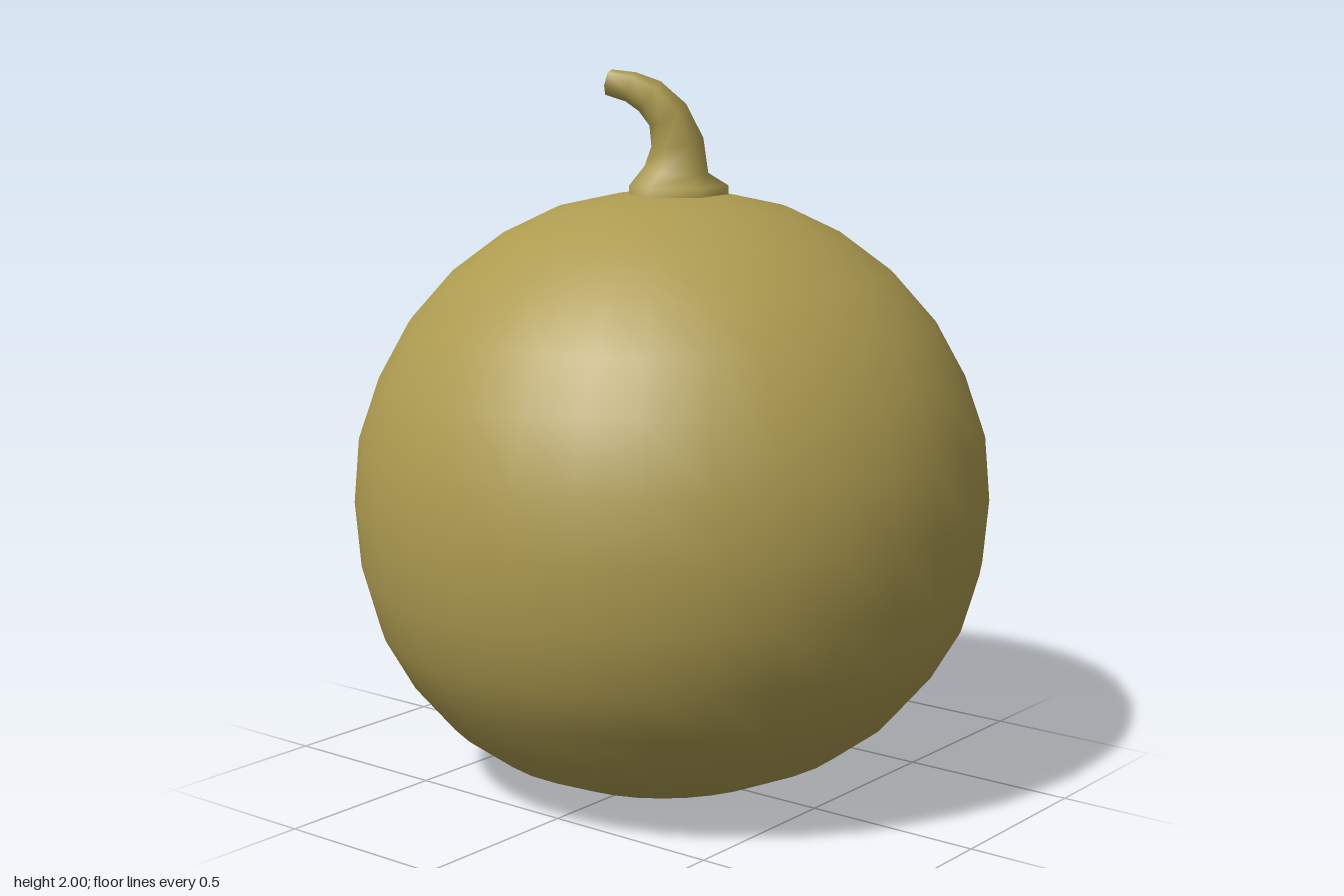
import * as THREE from 'three';
import { mergeVertices } from 'three/addons/utils/BufferGeometryUtils.js';

const SIDES = 6;

// Round fruit: lathed profile with a flattened, slightly lopsided base
function fruitGeometry() {
  const profile = [
    [0, 0.005], [0.18, 0.01], [0.345, 0.037], [0.505, 0.105], [0.635, 0.2], [0.745, 0.33],
    [0.825, 0.47], [0.873, 0.64], [0.888, 0.82], [0.872, 1.0], [0.813, 1.17], [0.73, 1.32],
    [0.615, 1.45], [0.47, 1.558], [0.32, 1.63], [0.16, 1.665], [0, 1.67],
  ].map(([r, y]) => new THREE.Vector2(r, y));
  let g = new THREE.LatheGeometry(profile, 32);
  const p = g.attributes.position;
  for (let i = 0; i < p.count; i++) {
    const k = Math.max(0, 1 - p.getY(i) / 0.8);
    p.setY(i, Math.max(0, p.getY(i) + 0.035 * k * p.getX(i)));
  }
  g.deleteAttribute('uv');
  g.deleteAttribute('normal');
  g = mergeVertices(g, 1e-4);
  g.computeVertexNormals();
  return g;
}

// Stem: rings of six points swept along a bent path, [x, y, z, radius]
const rings = [
  [0, 1.65, 0, 0.14], [0, 1.69, 0, 0.138], [0.015, 1.735, 0, 0.088], [0.022, 1.81, 0.005, 0.072],
  [0.012, 1.885, 0.035, 0.058], [-0.025, 1.935, 0.067, 0.05], [-0.07, 1.96, 0.094, 0.042],
  [-0.128, 1.972, 0.118, 0.036],
];
// Uneven foot of the stem, as offsets from a regular ring
const footScale = [1.04, 1.0, 0.86, 1.0, 1.1, 1.12];

function ringPoints(i) {
  const at = (k) => new THREE.Vector3(...rings[Math.min(Math.max(k, 0), rings.length - 1)]);
  const up = new THREE.Vector3(0, 1, 0);
  const tangent = i < 2 ? up : at(i + 1).sub(at(i - 1)).normalize();
  const q = new THREE.Quaternion().setFromUnitVectors(up, tangent);
  return footScale.map((s, j) => {
    const a = (j / SIDES) * Math.PI * 2 + 0.35;
    const r = rings[i][3] * (i < 2 ? s : 1);
    return new THREE.Vector3(Math.cos(a) * r, 0, Math.sin(a) * r).applyQuaternion(q).add(at(i));
  });
}

function meshGeometry(points, index) {
  const g = new THREE.BufferGeometry().setFromPoints(points);
  g.setIndex(index);
  g.computeVertexNormals();
  return g;
}

function stemGeometry() {
  const points = rings.flatMap((_, i) => ringPoints(i));
  const index = [];
  for (let i = 0; i < rings.length - 1; i++) {
    for (let j = 0; j < SIDES; j++) {
      const a = i * SIDES + j, b = i * SIDES + ((j + 1) % SIDES);
      index.push(a, a + SIDES, b, b, a + SIDES, b + SIDES);
    }
  }
  return meshGeometry(points, index);
}

// Flat cut end of the stem
function cutGeometry() {
  const index = [];
  for (let j = 1; j < SIDES - 1; j++) index.push(0, j + 1, j);
  return meshGeometry(ringPoints(rings.length - 1), index);
}

export function createModel() {
  const group = new THREE.Group();
  group.name = 'gourd';
  const olive = new THREE.MeshStandardMaterial({ color: 0xad9b50 });
  olive.name = 'olive';
  const parts = { fruit: fruitGeometry(), stem: stemGeometry(), stemCut: cutGeometry() };
  for (const [name, geometry] of Object.entries(parts)) {
    const mesh = new THREE.Mesh(geometry, olive);
    mesh.name = name;
    group.add(mesh);
  }
  return group;
}
